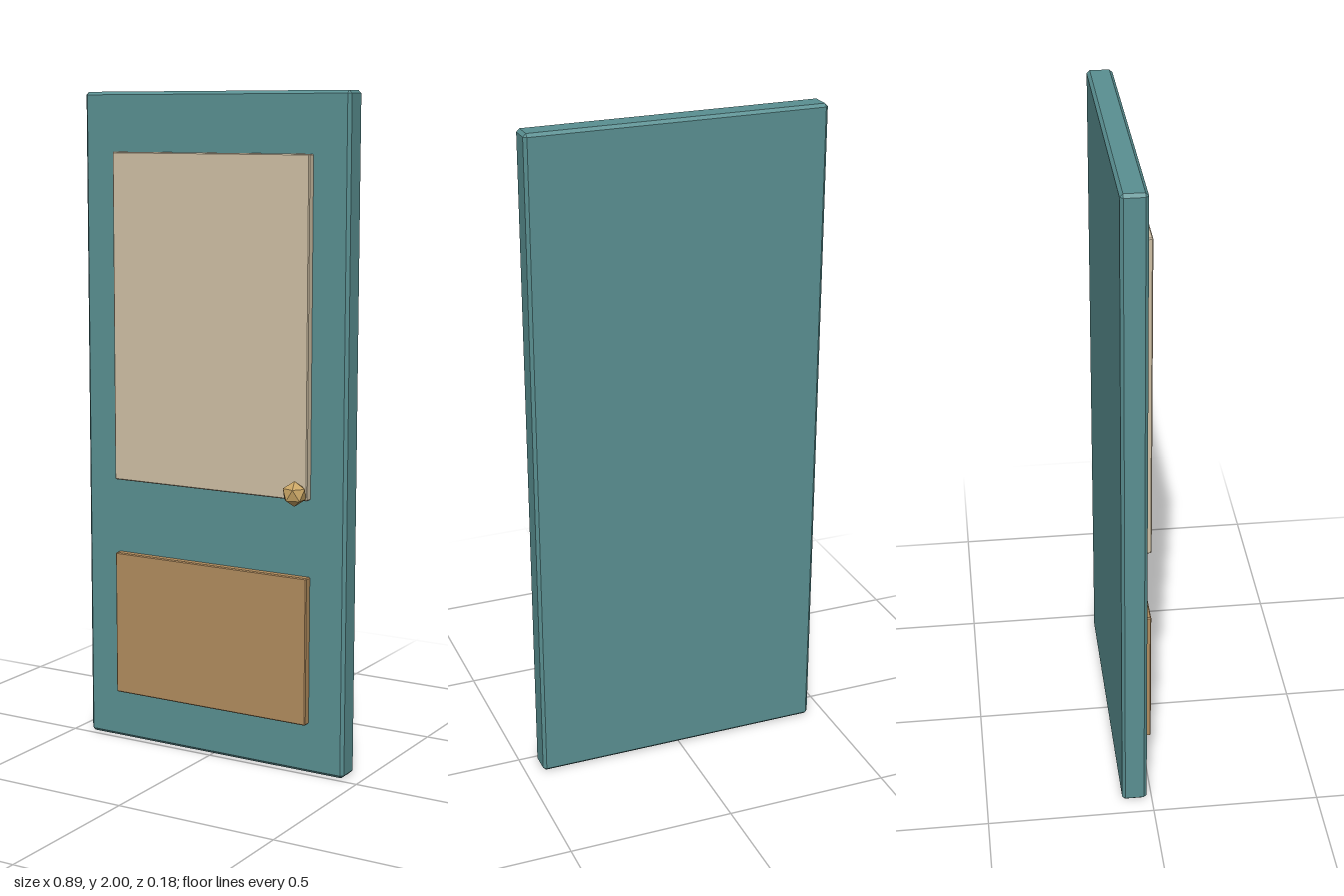
import * as THREE from 'three';
import { ConvexGeometry } from 'three/addons/geometries/ConvexGeometry.js';

const mat = (name, color) => Object.assign(new THREE.MeshStandardMaterial({ color }), { name });

// Box with flat chamfers along every edge, given by its extents
function chamferBox([x0, x1], [y0, y1], [z0, z1], c) {
  const half = [(x1 - x0) / 2, (y1 - y0) / 2, (z1 - z0) / 2];
  const points = [];
  for (const sx of [-1, 1]) for (const sy of [-1, 1]) for (const sz of [-1, 1]) {
    const s = [sx, sy, sz];
    for (let axis = 0; axis < 3; axis++) {
      points.push(new THREE.Vector3(...s.map((v, i) => v * (half[i] - (i === axis ? 0 : c)))));
    }
  }
  return new ConvexGeometry(points).translate((x0 + x1) / 2, (y0 + y1) / 2, (z0 + z1) / 2);
}

// Twenty-sided ball with a corner pointing straight up
function facetedBall(r) {
  const points = [new THREE.Vector3(0, r, 0), new THREE.Vector3(0, -r, 0)];
  const h = r / Math.sqrt(5);
  for (let i = 0; i < 10; i++) {
    const a = i * Math.PI / 5;
    points.push(new THREE.Vector3(2 * h * Math.cos(a), i % 2 ? -h : h, 2 * h * Math.sin(a)));
  }
  return new ConvexGeometry(points);
}

export function createModel() {
  const group = new THREE.Group();
  group.name = 'door';
  const add = (name, geometry, material) => {
    const mesh = new THREE.Mesh(geometry, material);
    mesh.name = name;
    group.add(mesh);
    return mesh;
  };

  // Door leaf
  add('doorLeaf', chamferBox([-0.447, 0.447], [0, 2], [-0.09, -0.015], 0.009), mat('teal paint', 0x5a9092));

  // Raised panels on the front
  const panelX = [-0.333, 0.333], panelZ = [-0.017, 0.01];
  add('upperPanel', chamferBox(panelX, [0.828, 1.823], panelZ, 0.003), mat('cream', 0xd0c0a5));
  add('lowerPanel', chamferBox(panelX, [0.152, 0.598], panelZ, 0.003), mat('tan wood', 0xb28d5e));

  // Knob
  add('knob', facetedBall(0.0375), mat('brass', 0xc9a565)).position.set(0.318, 0.857, 0.057);

  return group;
}
